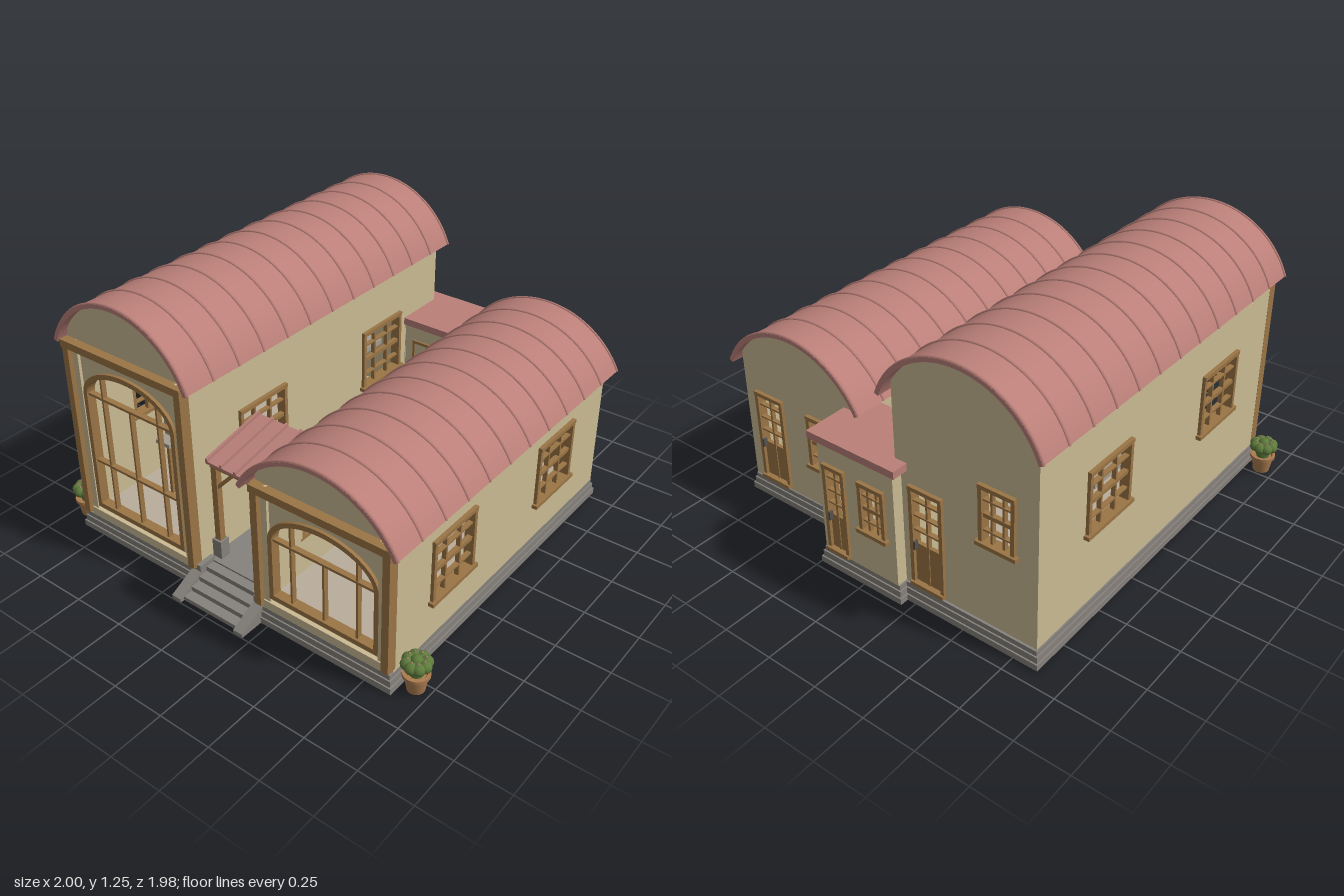
import * as THREE from 'three';
import { toCreasedNormals } from 'three/addons/utils/BufferGeometryUtils.js';

const mat = (name, color) => Object.assign(new THREE.MeshStandardMaterial({ color }), { name });
const M = {
  plaster: mat('plaster', 0xcbbb93), roof: mat('roof clay', 0xba7f78), wood: mat('wood', 0x9b7546),
  stone: mat('stone', 0x86817c), paving: mat('paving', 0xb9ae9b), leaf: mat('leaf', 0x5f7c3c),
  pot: mat('terracotta', 0xab7c50), flower: mat('flower', 0xb4757a), iron: mat('iron', 0x55514f),
  fabric: mat('furniture grey', 0xa39c90),
};

function add(parent, name, geo, material, x = 0, y = 0, z = 0) {
  const m = new THREE.Mesh(geo, material);
  m.name = name;
  m.position.set(x, y, z);
  parent.add(m);
  return m;
}
// Box given by its limits
const box = (p, name, material, x0, x1, y0, y1, z0, z1) =>
  add(p, name, new THREE.BoxGeometry(x1 - x0, y1 - y0, z1 - z0), material, (x0 + x1) / 2, (y0 + y1) / 2, (z0 + z1) / 2);

function group(parent, name, x = 0, y = 0, z = 0, ry = 0) {
  const g = new THREE.Group();
  g.name = name;
  g.position.set(x, y, z);
  g.rotation.y = ry;
  parent.add(g);
  return g;
}
const extrude = (shape, depth) =>
  toCreasedNormals(new THREE.ExtrudeGeometry(shape, { depth, bevelEnabled: false, curveSegments: 28 }), 0.5);

// Outlines
function rectPath(x0, x1, y0, y1, C = THREE.Shape) {
  return new C([[x0, y0], [x1, y0], [x1, y1], [x0, y1]].map(([x, y]) => new THREE.Vector2(x, y)));
}
function archPath(hw, y0, spring, top, C = THREE.Shape) {
  const s = new C();
  s.moveTo(-hw, y0);
  s.lineTo(hw, y0);
  s.lineTo(hw, spring);
  s.absellipse(0, spring, hw, top - spring, 0, Math.PI, false);
  s.lineTo(-hw, y0);
  return s;
}
function gablePath(hw, y0, cy, r) {
  const a = Math.acos(hw / r), s = new THREE.Shape();
  s.moveTo(-hw, y0);
  s.lineTo(hw, y0);
  s.absarc(0, cy, r, a, Math.PI - a, false);
  s.lineTo(-hw, y0);
  return s;
}

// Window or door fitted around z = 0, facing +z
function fitting(parent, o) {
  const g = group(parent, o.door ? 'door' : 'window', o.x, o.y);
  const w = o.w / 2, h = o.h / 2, f = 0.018;
  const bar = (n, x0, x1, y0, y1, z0 = -0.03, z1 = 0.015) => box(g, n, M.wood, x0, x1, y0, y1, z0, z1);
  bar('frameSide', -w, -w + f, -h, h);
  bar('frameSide', w - f, w, -h, h);
  bar('frameHead', -w, w, h - f, h, -0.03, 0.018);
  bar('sill', -w - (o.door ? 0 : 0.012), w + (o.door ? 0 : 0.012), -h, -h + f, -0.03, 0.025);
  const cols = o.cols || 3, rows = 4, low = o.door ? -h * 0.15 : -h;
  for (let i = 1; i < cols; i++) {
    const x = -w + (o.w * i) / cols;
    bar('muntin', x - 0.005, x + 0.005, -h, h, -0.016, 0.004);
  }
  for (let i = 1; i < rows; i++) {
    const y = low + ((h - low) * i) / rows, t = i === 2 && !o.door ? 0.009 : 0.004;
    bar('muntin', -w, w, y - t, y + t, -0.016, 0.006);
  }
  if (o.door) {
    bar('doorPanel', -w + f, w - f, -h, low, -0.018, 0);
    add(g, 'doorHandle', new THREE.BoxGeometry(0.01, 0.04, 0.02), M.iron, -w + 0.028, low, 0.012);
  }
}

// Plaster wall with its openings; local z = 0 is the outer face
function wall(parent, name, shape, openings, x, z, ry) {
  const g = group(parent, name, x, 0, z, ry);
  for (const o of openings)
    shape.holes.push(rectPath(o.x - o.w / 2, o.x + o.w / 2, o.y - o.h / 2, o.y + o.h / 2, THREE.Path));
  add(g, name + 'Plaster', extrude(shape, 0.03), M.plaster, 0, 0, -0.03);
  openings.forEach(o => fitting(g, o));
}

// Barrel roof with ribs
function vault(parent, cx, cy, R, eave, z0, z1, ribs) {
  const a = Math.asin((eave - cy) / R), s = new THREE.Shape();
  s.absarc(0, cy, R, a, Math.PI - a, false);
  s.absarc(0, cy, R - 0.018, Math.PI - a, a, true);
  add(parent, 'barrelRoof', extrude(s, z1 - z0), M.roof, cx, 0, z0);
  const rib = new THREE.TorusGeometry(R, 0.007, 6, 32, Math.PI - 2 * a).rotateZ(a);
  for (let i = 0; i < ribs; i++)
    add(parent, 'roofRib', rib, M.roof, cx, cy, z0 + 0.007 + ((z1 - z0 - 0.014) * i) / (ribs - 1));
}

// One hall: walls, timber front, arched glazing bars, roof
function hall(root, p) {
  const g = group(root, p.name), { cx, hw, cy, R, front, back } = p, y0 = 0.085, r = R - 0.01;
  const side = cy + Math.sqrt(r * r - hw * hw), L = (front - back) / 2, mid = (front + back) / 2;
  const face = gablePath(hw, y0, cy, r);
  face.holes.push(archPath(p.ahw, 0.155, p.spring, p.top, THREE.Path));
  wall(g, 'frontWall', face, [], cx, front, 0);
  wall(g, 'backWall', gablePath(hw, y0, cy, r), p.backOpenings.map(o => ({ ...o, x: cx - o.x })), cx, back, Math.PI);
  for (const s of [1, -1])
    wall(g, 'sideWall', rectPath(-L, L, y0, side),
      p.sideZ.map(z => ({ x: -s * (z - mid), y: p.sideY, w: 0.3, h: 0.31 })), cx + s * hw, mid, (s * Math.PI) / 2);
  vault(g, cx, cy, R, p.eave, p.roofZ[0], p.roofZ[1], p.ribs);
  box(g, 'floor', M.paving, cx - hw + 0.02, cx + hw - 0.02, 0.08, 0.1, back + 0.02, front - 0.02);

  // Timber posts and beam
  const t = group(g, 'timberFront', cx, 0, front);
  for (const s of [1, -1]) {
    add(t, 'post', new THREE.BoxGeometry(0.034, p.beam - 0.1, 0.05), M.wood, s * (hw - 0.016), (p.beam + 0.1) / 2, 0.012);
    add(t, 'pier', new THREE.BoxGeometry(0.03, p.beam - 0.1, 0.02), M.plaster, s * (hw - 0.05), (p.beam + 0.1) / 2, 0.004);
  }
  box(t, 'beam', M.wood, -hw - 0.005, hw + 0.005, p.beam - 0.035, p.beam, -0.01, 0.042);
  box(t, 'plinth', M.plaster, -hw + 0.03, hw - 0.03, 0.085, 0.125, -0.01, 0.02);
  // Arched window
  const frame = archPath(p.ahw + 0.01, 0.145, p.spring, p.top + 0.01);
  frame.holes.push(archPath(p.ahw - 0.012, 0.168, p.spring, p.top - 0.014, THREE.Path));
  add(t, 'archFrame', extrude(frame, 0.045), M.wood, 0, 0, -0.03);
  const barTop = x => p.spring + (p.top - p.spring) * Math.sqrt(1 - (x / p.ahw) ** 2);
  for (const x of [-0.165, 0, 0.165])
    box(t, 'mullion', M.wood, x - 0.005, x + 0.005, 0.16, x ? barTop(x) : p.spring, -0.02, 0.004);
  for (const y of p.rails) box(t, 'transom', M.wood, -p.ahw, p.ahw, y - 0.006, y + 0.006, -0.02, 0.006);

  // Hanging shelves with bottles, and a lamp
  for (const y of p.shelves) {
    const s = group(g, 'bottleShelf', cx, y, 0.3);
    box(s, 'shelfCase', M.wood, -0.165, 0.165, 0, 0.06, -0.05, 0.05);
    box(s, 'shelfTop', M.wood, -0.165, 0.165, 0.115, 0.13, -0.05, 0.05);
    for (const e of [-0.16, 0.16]) box(s, 'shelfEnd', M.wood, e - 0.006, e + 0.006, 0, 0.13, -0.05, 0.05);
    for (let i = 0; i < 7; i++)
      add(s, 'bottle', new THREE.CylinderGeometry(0.006, 0.011, 0.05, 8), M.iron, -0.12 + i * 0.04, 0.085, 0.02);
    add(s, 'lamp', new THREE.CylinderGeometry(0.008, 0.024, 0.04, 10), M.fabric, 0, 0.03, 0.12);
    add(s, 'lampRod', new THREE.CylinderGeometry(0.003, 0.003, 0.08, 6), M.iron, 0, 0.085, 0.12);
  }
  return g;
}

// Leafy clump with small blossoms
function clump(parent, x, y, z, r) {
  const g = group(parent, 'shrub', x, y, z);
  const leaf = new THREE.IcosahedronGeometry(r * 0.42, 1).scale(1, 0.95, 1);
  add(g, 'leaves', leaf, M.leaf, 0, r * 0.3, 0);
  for (let i = 0; i < 8; i++) {
    const a = (i * Math.PI) / 4, c = Math.cos(a) * r, s = Math.sin(a) * r;
    add(g, 'leaves', leaf, M.leaf, c * 0.6, r * 0.15, s * 0.6);
    add(g, 'blossom', new THREE.IcosahedronGeometry(r * 0.08, 0), M.flower, c * 0.55, r * 0.54, s * 0.55);
  }
}

export function createModel() {
  const root = new THREE.Group();
  root.name = 'twinHallPavilion';

  // Stepped stone base
  const base = group(root, 'stoneBase');
  const plots = [[-0.87, -0.15, -0.93, 0.885], [0.18, 0.88, -0.785, 0.885], [-0.2, 0.22, -0.7, 0.79], [-0.21, 0.245, -0.97, -0.6]];
  for (const [x0, x1, z0, z1] of plots)
    [[0.003, 0.032, 0], [0.032, 0.062, 0.007], [0.062, 0.085, 0.014]].forEach(([a, b, i]) =>
      box(base, 'baseCourse', M.stone, x0 + i, x1 - i, a, b, z0 + i, z1 - i));
  box(root, 'courtyardPaving', M.paving, -0.17, 0.2, 0.08, 0.1, -0.66, 0.44);
  box(root, 'porchPaving', M.stone, -0.17, 0.2, 0.08, 0.1, 0.44, 0.79);

  // Two halls
  const tall = hall(root, {
    name: 'tallHall', cx: -0.505, hw: 0.345, cy: 0.83, R: 0.415, eave: 0.98, front: 0.85, back: -0.905,
    roofZ: [-0.95, 0.89], ribs: 13, beam: 0.995, ahw: 0.262, spring: 0.745, top: 0.895, rails: [0.4, 0.745],
    sideZ: [0.41, -0.45], sideY: 0.585, shelves: [0.27, 0.76],
    backOpenings: [{ x: -0.315, y: 0.345, w: 0.17, h: 0.49, door: true, cols: 2 }, { x: -0.665, y: 0.615, w: 0.17, h: 0.28 }],
  });
  hall(root, {
    name: 'lowHall', cx: 0.528, hw: 0.338, cy: 0.493, R: 0.432, eave: 0.69, front: 0.85, back: -0.765,
    roofZ: [-0.8, 0.91], ribs: 12, beam: 0.705, ahw: 0.265, spring: 0.45, top: 0.605, rails: [0.45],
    sideZ: [0.46, -0.34], sideY: 0.42, shelves: [0.28],
    backOpenings: [{ x: 0.715, y: 0.33, w: 0.17, h: 0.46, door: true, cols: 2 }, { x: 0.39, y: 0.42, w: 0.18, h: 0.27 }],
  });
  // Gallery, seats and ladder in the tall hall
  box(tall, 'gallery', M.fabric, -0.82, -0.19, 0.59, 0.615, -0.5, -0.1);
  for (const x of [-0.63, -0.505, -0.38]) {
    box(tall, 'seatBack', M.fabric, x - 0.042, x + 0.042, 0.4, 0.5, 0.5, 0.52);
    box(tall, 'seat', M.fabric, x - 0.042, x + 0.042, 0.38, 0.4, 0.5, 0.58);
    box(tall, 'seatLeg', M.wood, x - 0.008, x + 0.008, 0.1, 0.38, 0.53, 0.55);
  }
  for (const x of [-0.41, -0.33]) box(tall, 'ladderRail', M.wood, x - 0.007, x + 0.007, 0.1, 0.78, -0.09, -0.07);
  for (let i = 0; i < 9; i++) box(tall, 'ladderRung', M.wood, -0.41, -0.33, 0.16 + i * 0.06, 0.17 + i * 0.06, -0.09, -0.07);

  // Rear link
  const link = group(root, 'rearLink');
  wall(link, 'linkBackWall', rectPath(-0.205, 0.205, 0.085, 0.65),
    [{ x: -0.115, y: 0.32, w: 0.12, h: 0.44, door: true, cols: 2 }, { x: 0.09, y: 0.41, w: 0.14, h: 0.25 }], 0.017, -0.957, Math.PI);
  for (const s of [1, -1])
    wall(link, 'linkSideWall', rectPath(-0.15, 0.15, 0.085, 0.65), [], 0.017 + s * 0.205, -0.807, (s * Math.PI) / 2);
  wall(link, 'linkFrontWall', rectPath(-0.19, 0.19, 0.085, 0.65), [], 0.017, -0.66, 0);
  box(link, 'linkRoof', M.roof, -0.22, 0.25, 0.645, 0.68, -0.982, -0.645);
  for (const x of [-0.105, -0.015, 0.045, 0.135]) box(link, 'doorStile', M.wood, x - 0.006, x + 0.006, 0.1, 0.56, -0.66, -0.652);
  box(link, 'doorHead', M.wood, -0.11, 0.14, 0.555, 0.57, -0.66, -0.65);
  box(link, 'doorStep', M.stone, -0.11, 0.14, 0.1, 0.24, -0.66, -0.651);

  // Porch
  const porch = group(root, 'porch');
  for (const [x, s] of [[-0.135, 1], [0.163, -1]]) {
    for (const z of [0.5, 0.74]) {
      box(porch, 'postFoot', M.stone, x - 0.025, x + 0.025, 0.1, 0.19, z - 0.025, z + 0.025);
      box(porch, 'porchPost', M.wood, x - 0.015, x + 0.015, 0.19, 0.6, z - 0.015, z + 0.015);
      const b = add(porch, 'brace', new THREE.BoxGeometry(0.016, 0.15, 0.018), M.wood, x + s * 0.05, 0.51, z);
      b.rotation.z = -s * 0.75;
    }
    box(porch, 'sideBeam', M.wood, x - 0.014, x + 0.014, 0.575, 0.6, 0.47, 0.76);
  }
  for (const z of [0.5, 0.74]) box(porch, 'porchBeam', M.wood, -0.155, 0.185, 0.565, 0.595, z - 0.015, z + 0.015);
  const pr = group(porch, 'porchRoof', 0.015, 0.638, 0.615);
  pr.rotation.x = 0.2;
  add(pr, 'roofPanel', new THREE.BoxGeometry(0.33, 0.015, 0.34), M.roof);
  for (let i = 0; i < 5; i++) add(pr, 'panelRib', new THREE.BoxGeometry(0.012, 0.018, 0.34), M.roof, -0.156 + i * 0.078, 0.014, 0);

  // Entrance steps with sloped cheeks
  for (let i = 0; i < 4; i++) box(root, 'step', M.stone, -0.15, 0.18, 0.003, 0.092 - i * 0.023, 0.78, 0.835 + i * 0.048);
  const cheek = new THREE.Shape([[0.78, 0.003], [1, 0.003], [1, 0.02], [0.87, 0.085], [0.87, 0.115], [0.78, 0.115]]
    .map(([a, b]) => new THREE.Vector2(-a, b)).reverse());
  for (const x of [-0.187, 0.165]) add(root, 'stepCheek', extrude(cheek, 0.05).rotateY(Math.PI / 2), M.stone, x, 0, 0);

  // Courtyard planters
  for (const z of [-0.33, -0.03, 0.27]) {
    const g = group(root, 'planter', 0.015, 0, z);
    box(g, 'planterBox', M.wood, -0.045, 0.045, 0.08, 0.112, -0.09, 0.09);
    for (const s of [1, -1]) {
      box(g, 'planterKerb', M.paving, s * 0.052 - 0.007, s * 0.052 + 0.007, 0.09, 0.115, -0.1, 0.1);
      box(g, 'planterKerb', M.paving, -0.059, 0.059, 0.09, 0.115, s * 0.097 - 0.007, s * 0.097 + 0.007);
    }
    box(g, 'planterUnderside', M.paving, -0.03, 0.03, 0, 0.006, -0.06, 0.06);
    clump(g, -0.035, 0.112, 0, 0.052);
    clump(g, 0.035, 0.112, 0, 0.052);
  }
  // Potted shrubs
  const profile = [[0, 0], [0.038, 0], [0.05, 0.07], [0.058, 0.072], [0.058, 0.088], [0.046, 0.088], [0.04, 0.078], [0, 0.078]];
  for (const [x, z] of [[-0.935, 0.8], [0.935, 0.79]]) {
    const lathe = new THREE.LatheGeometry(profile.map(([a, b]) => new THREE.Vector2(a, b)), 20);
    add(root, 'flowerPot', toCreasedNormals(lathe, 0.6), M.pot, x, 0, z);
    clump(root, x, 0.125, z, 0.066);
    add(root, 'shrubStem', new THREE.CylinderGeometry(0.035, 0.03, 0.05, 10), M.leaf, x, 0.1, z);
  }
  return root;
}
